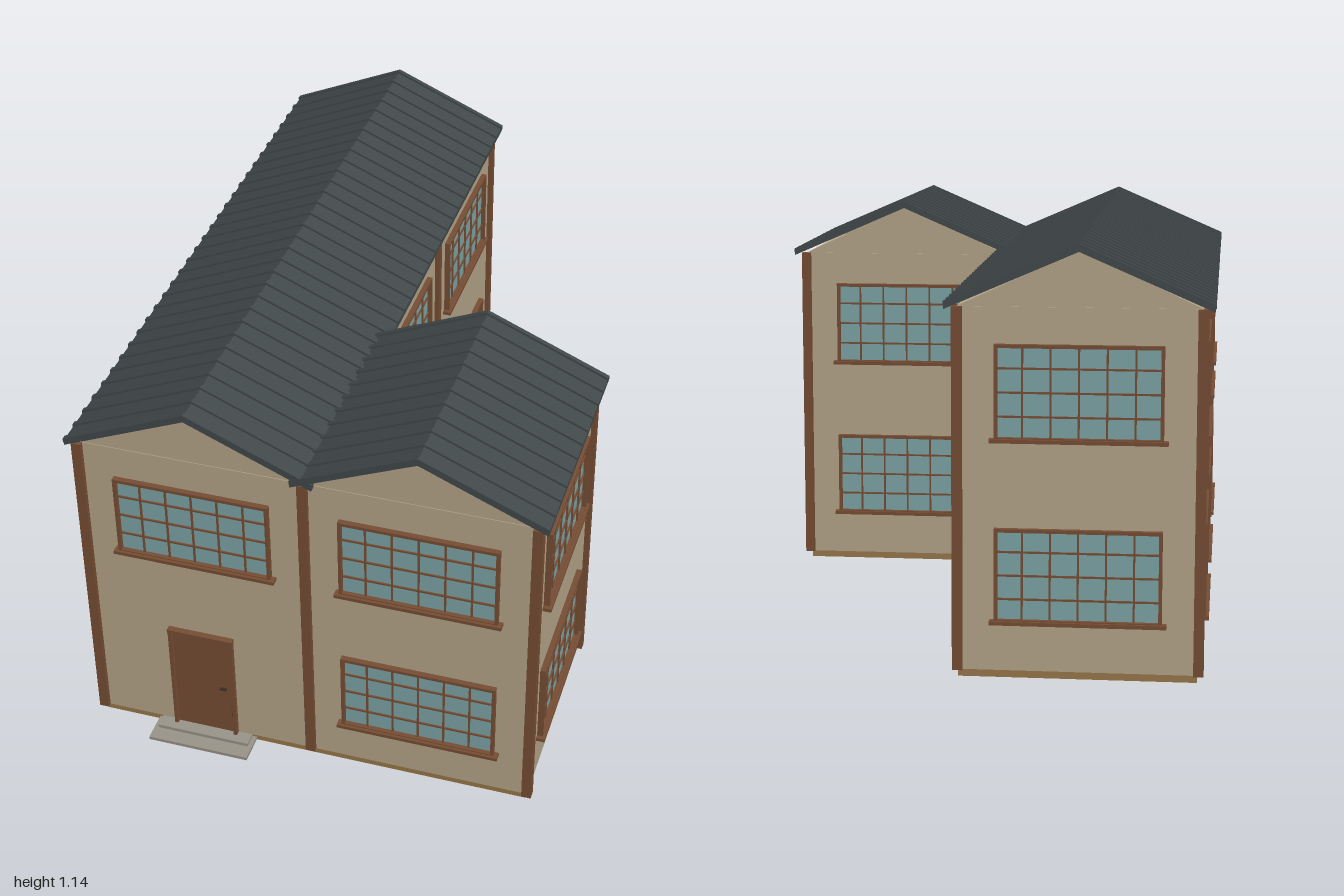
import * as THREE from 'three';

const mat = (name, color) => {
  const m = new THREE.MeshStandardMaterial({ color });
  m.name = name;
  return m;
};

export function createModel() {
  const house = new THREE.Group();
  house.name = 'house';
  const wall = mat('wall plaster', 0xb6a68a);
  const wood = mat('brown wood', 0x774e34);
  const glass = mat('window glass', 0x7ea6a8);
  const roofing = mat('dark roofing', 0x42494b);
  const footing = mat('base brown', 0x9a784a);
  const stone = mat('step stone', 0x9a958a);
  const metal = mat('handle metal', 0x3a2c22);

  const add = (parent, name, geo, material, x = 0, y = 0, z = 0) => {
    const m = new THREE.Mesh(geo, material);
    m.name = name;
    m.position.set(x, y, z);
    parent.add(m);
    return m;
  };
  // Box given by its limits on each axis
  const box = (parent, name, material, x0, x1, y0, y1, z0, z1) =>
    add(parent, name, new THREE.BoxGeometry(x1 - x0, y1 - y0, z1 - z0), material,
      (x0 + x1) / 2, (y0 + y1) / 2, (z0 + z1) / 2);
  const extrude = (points, depth) => new THREE.ExtrudeGeometry(
    new THREE.Shape(points.map(p => new THREE.Vector2(...p))), { depth, bevelEnabled: false });

  // Grid of square bays: a three-bay wing and a one-bay wing
  const B = 0.627, H = B / 2, F = 0.917;
  const zAxis = [F, F - B, F - 2 * B, F - 3 * B];
  const zMid = [0, 1, 2].map(i => F - (i + 0.5) * B);
  const eave = 0.975, inset = 0.004;
  const wings = [
    { name: 'long', x: -H, back: zAxis[3], roofBack: -1 },
    { name: 'short', x: H, back: zAxis[1], roofBack: 0.25 },
  ];

  // Chevron cross-section for roof sheets and their seams
  const chevron = (top, thick, half) => {
    const drop = half * 0.433;
    return [[-half, top - drop - thick], [0, top - thick], [half, top - drop - thick],
      [half, top - drop], [0, top], [-half, top - drop]];
  };

  for (const w of wings) {
    const lo = w.x - H, hi = w.x + H;
    box(house, w.name + 'WingBase', footing,
      Math.max(lo, -B + inset), Math.min(hi, B - inset), 0, 0.02, w.back + inset, F - inset);
    box(house, w.name + 'WingWalls', wall, lo, hi, 0.02, eave, w.back, F);

    // Gables at both ends
    for (const z of [w.back + 0.002, F - 0.012]) {
      add(house, w.name + 'WingGable', extrude([[-H, 0], [H, 0], [0, 0.146]], 0.01), wall, w.x, eave, z);
    }

    // Roof sheet with raised seams
    const roof = new THREE.Group();
    roof.name = w.name + 'WingRoof';
    roof.position.x = w.x;
    house.add(roof);
    const front = 0.937, length = front - w.roofBack;
    add(roof, 'roofSheet', extrude(chevron(1.134, 0.014, 0.343), length), roofing, 0, 0, w.roofBack);
    const seam = extrude(chevron(1.141, 0.012, 0.345), 0.014);
    const count = Math.round(length / 0.0645);
    for (let i = 0; i <= count; i++) {
      add(roof, 'roofSeam', seam, roofing, 0, 0, w.roofBack + (i * (length - 0.014)) / count);
    }
  }

  // Posts on the bay axes
  const posts = [[-B, 0], [0, 0], [B, 0], [-B, 1], [B, 1], [-B, 2], [0, 2], [-B, 3], [0, 3]];
  for (const [x, i] of posts) {
    box(house, 'post', wood, x - 0.0135, x + 0.0135, 0.02, eave, zAxis[i] - 0.0135, zAxis[i] + 0.0135);
  }

  // Window with six by four panes, facing +z before turning
  const WW = 0.435, WH = 0.25, bar = 0.009;
  const addWindow = (x, y, z, turn) => {
    const g = new THREE.Group();
    g.name = 'window';
    g.position.set(x, y, z);
    g.rotation.y = turn;
    house.add(g);
    const hw = WW / 2, hh = WH / 2;
    box(g, 'glass', glass, -hw + bar, hw - bar, -hh + bar, hh - bar, -0.002, 0.003);
    for (const s of [-1, 1]) {
      const cx = s * (hw - bar / 2), cy = s * (hh - bar / 2);
      box(g, 'frameSide', wood, cx - bar / 2, cx + bar / 2, -hh, hh, -0.002, 0.016);
      box(g, 'frameRail', wood, -hw + bar, hw - bar, cy - bar / 2, cy + bar / 2, -0.002, 0.016);
    }
    for (let i = 1; i < 6; i++) {
      const cx = -hw + (i * WW) / 6;
      box(g, 'verticalBar', wood, cx - 0.0025, cx + 0.0025, -hh + bar, hh - bar, 0, 0.008);
    }
    for (let i = 1; i < 4; i++) {
      const cy = -hh + (i * WH) / 4;
      box(g, 'horizontalBar', wood, -hw + bar, hw - bar, cy - 0.0025, cy + 0.0025, 0, 0.0075);
    }
    box(g, 'sill', wood, -hw - 0.012, hw + 0.012, -hh - 0.004, -hh + 0.006, -0.002, 0.024);
  };

  const lower = 0.275, upper = 0.755, R = Math.PI / 2;
  addWindow(-H, upper, F, 0);
  for (const y of [lower, upper]) {
    addWindow(H, y, F, 0);
    addWindow(H, y, zAxis[1], Math.PI);
    addWindow(-H, y, zAxis[3], Math.PI);
    addWindow(B, y, zMid[0], R);
    for (const z of zMid) addWindow(-B, y, z, -R);
    for (const z of zMid.slice(1)) addWindow(0, y, z, R);
  }

  // Front door
  const door = new THREE.Group();
  door.name = 'door';
  door.position.set(-0.3135, 0.02, F);
  house.add(door);
  box(door, 'doorLeaf', wood, -0.084, 0.084, 0, 0.345, -0.002, 0.004);
  for (const s of [-1, 1]) {
    box(door, 'doorJamb', wood, s * 0.089 - 0.005, s * 0.089 + 0.005, 0, 0.355, -0.002, 0.016);
  }
  box(door, 'doorHead', wood, -0.095, 0.095, 0.345, 0.357, -0.002, 0.018);
  box(door, 'doorHandle', metal, 0.049, 0.068, 0.161, 0.165, 0.004, 0.012);
  for (const y of [0.06, 0.1]) box(door, 'doorLock', metal, 0.079, 0.083, y, y + 0.018, 0.003, 0.006);

  // Two steps
  box(house, 'lowerStep', stone, -0.461, -0.167, 0, 0.01, F - 0.01, 1);
  box(house, 'upperStep', stone, -0.449, -0.179, 0.01, 0.02, F - 0.01, 0.957);

  return house;
}
